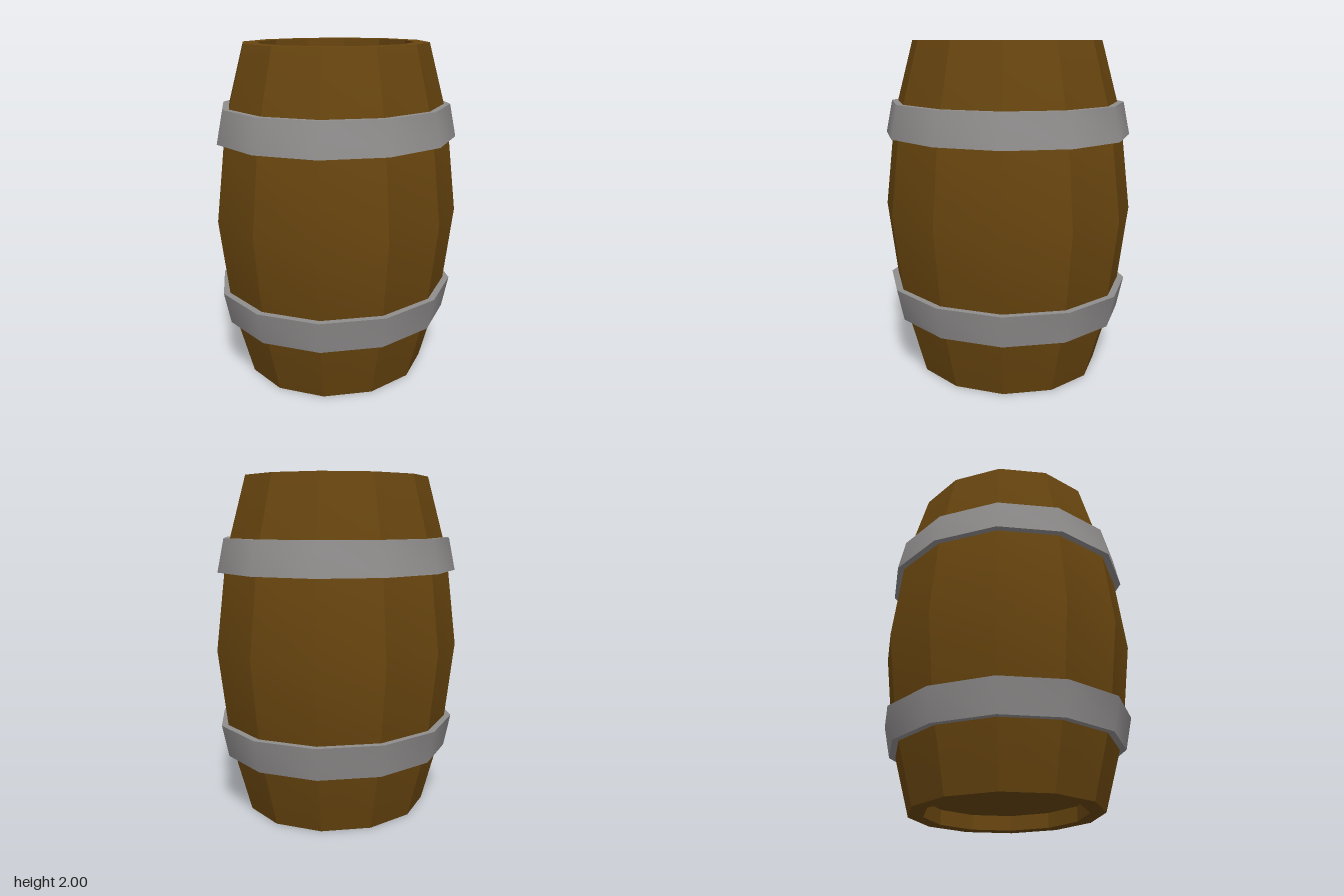
import * as THREE from 'three';
import { toCreasedNormals } from 'three/addons/utils/BufferGeometryUtils.js';

const SIDES = 12;
const SQUASH = 0.945; // the barrel is slightly narrower in x than in z

const wood = new THREE.MeshStandardMaterial({ color: 0x68450f });
wood.name = 'brown wood';
const iron = new THREE.MeshStandardMaterial({ color: 0x908d8d });
iron.name = 'grey iron';

// Revolve a [radius, y] profile, keeping edges sharper than the crease angle
function turned(name, profile, crease, material) {
  const points = profile.map(([r, y]) => new THREE.Vector2(r, y));
  const lathe = new THREE.LatheGeometry(points, SIDES);
  lathe.scale(SQUASH, 1, 1);
  const mesh = new THREE.Mesh(toCreasedNormals(lathe, crease), material);
  mesh.name = name;
  return mesh;
}

export function createModel() {
  const group = new THREE.Group();
  group.name = 'barrel';

  // Bulging staves with a recessed lid at both ends
  const lowerHalf = [[0, 0.09], [0.48, 0.09], [0.48, 0], [0.571, 0], [0.697, 0.45]];
  const flip = (profile) => profile.map(([r, y]) => [r, 2 - y]).reverse();
  group.add(turned('barrelBody', [...lowerHalf, [0.764, 1], ...flip(lowerHalf)], 0.4, wood));

  // Tapered hoops, mirrored about the middle
  const hoop = [[0.64, 1.452], [0.75, 1.452], [0.709, 1.645], [0.64, 1.645], [0.64, 1.452]];
  group.add(turned('upperHoop', hoop, 0.7, iron));
  group.add(turned('lowerHoop', flip(hoop), 0.7, iron));

  // Five-sided bung on the lid
  const bungGeometry = new THREE.CylinderGeometry(0.088, 0.088, 0.035, 5);
  bungGeometry.rotateY(Math.PI).scale(SQUASH, 1, 1);
  const bung = new THREE.Mesh(toCreasedNormals(bungGeometry, 0.4), iron);
  bung.name = 'bung';
  bung.position.set(0.12, 1.918, -0.268);
  group.add(bung);

  return group;
}
